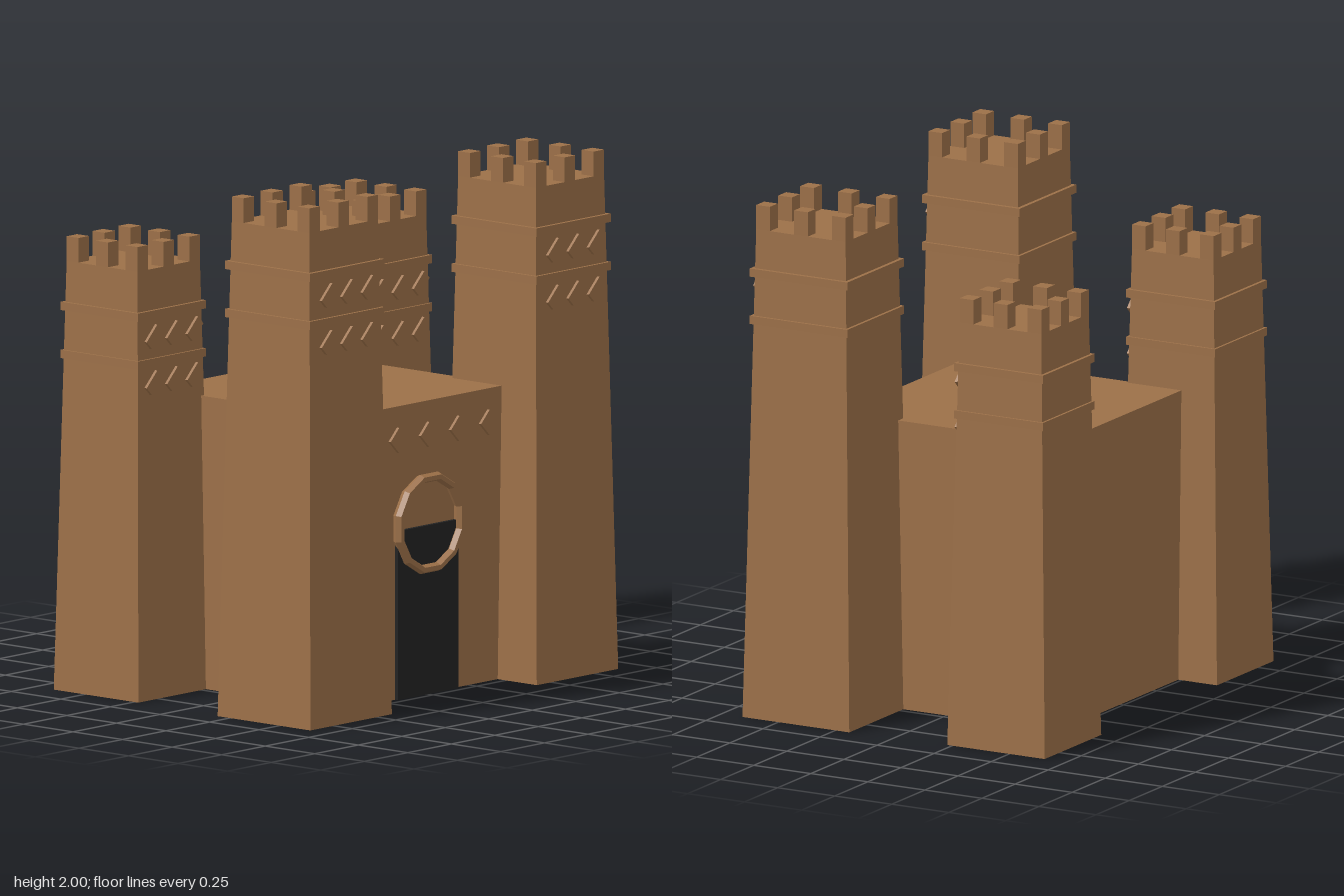
import * as THREE from 'three';

const stone = new THREE.MeshStandardMaterial({ color: 0x9c7048, flatShading: true });
stone.name = 'sandstone';
const dark = new THREE.MeshStandardMaterial({ color: 0x222222, flatShading: true });
dark.name = 'darkDoor';

function add(parent, name, geometry, x, y, z, material = stone) {
  const mesh = new THREE.Mesh(geometry, material);
  mesh.name = name;
  mesh.position.set(x, y, z);
  parent.add(mesh);
  return mesh;
}

const box = (w, h, d) => new THREE.BoxGeometry(w, h, d);

// Square tapered shaft standing on y = 0
function shaftGeometry(bottom, top, height) {
  return new THREE.CylinderGeometry(top * Math.SQRT1_2, bottom * Math.SQRT1_2, height, 4)
    .rotateY(Math.PI / 4)
    .translate(0, height / 2, 0);
}

// Tower with two bands, eight merlons and two rows of slanted tiles on its front
function createTower(name, { base, top, height, bandWidth, bands, tileRows, tileZ }) {
  const tower = new THREE.Group();
  tower.name = name;
  add(tower, 'shaft', shaftGeometry(base, top, height), 0, 0, 0);

  for (const y of bands) add(tower, 'band', box(bandWidth, 0.032, bandWidth), 0, y, 0);

  const merlon = 0.06;
  const offset = (top - merlon) / 2;
  for (const i of [-1, 0, 1]) {
    for (const j of [-1, 0, 1]) {
      if (i || j) add(tower, 'merlon', box(merlon, 0.095, merlon), i * offset, height + 0.0475, j * offset);
    }
  }

  for (const y of tileRows) {
    for (const i of [-1, 0, 1]) {
      add(tower, 'slantedTile', box(0.086, 0.043, 0.012), i * 0.117, y, tileZ).rotation.z = Math.PI / 4;
    }
  }
  return tower;
}

export function createModel() {
  const castle = new THREE.Group();
  castle.name = 'castle';

  // Central hall
  add(castle, 'hall', box(0.952, 1.127, 0.946), 0, 0.5635, -0.013);

  // Doorway and the twelve-sided ring above it
  add(castle, 'door', box(0.347, 0.65, 0.03), 0, 0.325, 0.46, dark);
  const ring = add(castle, 'doorRing', new THREE.TorusGeometry(0.18, 0.018, 6, 12), 0, 0.66, 0.479);
  ring.rotation.z = Math.PI / 12;
  ring.scale.z = 1.35;

  // Row of diamonds over the door
  for (let i = -2; i <= 2; i++) {
    add(castle, 'diamond', box(0.069, 0.069, 0.012), i * 0.173, 1.0, 0.475).rotation.z = Math.PI / 4;
  }

  // Tall front towers and shorter back towers
  const front = {
    base: 0.468, top: 0.392, height: 1.905, bandWidth: 0.428,
    bands: [1.737, 1.552], tileRows: [1.658, 1.477], tileZ: 0.223,
  };
  const back = {
    base: 0.427, top: 0.358, height: 1.65, bandWidth: 0.39,
    bands: [1.477, 1.292], tileRows: [1.395, 1.218], tileZ: 0.205,
  };
  for (const side of [-1, 1]) {
    const label = side > 0 ? 'Left' : 'Right';
    const frontTower = createTower('front' + label + 'Tower', front);
    frontTower.position.set(side * 0.65, 0, 0.423);
    const backTower = createTower('back' + label + 'Tower', back);
    backTower.position.set(side * 0.65, 0, -0.442);
    castle.add(frontTower, backTower);
  }
  return castle;
}
